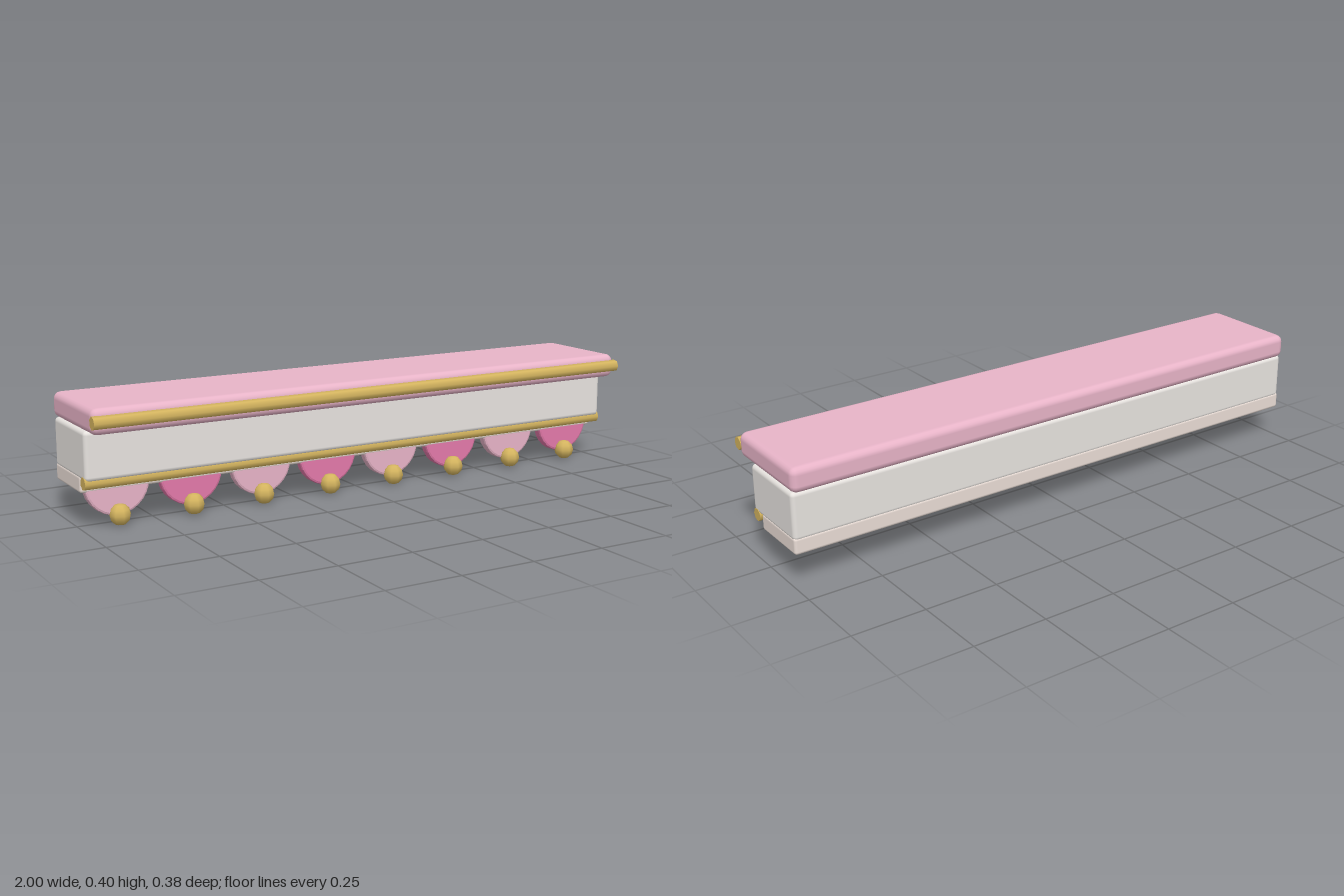
import * as THREE from 'three';
import { RoundedBoxGeometry } from 'three/addons/geometries/RoundedBoxGeometry.js';

const paint = (color) => new THREE.MeshStandardMaterial({ color });
const pink = paint(0xe8b4c8), rose = paint(0xe47aaa), gold = paint(0xd4b45f);
const cream = paint(0xe8e4e0), blush = paint(0xeaddd6);

export function createModel() {
  const group = new THREE.Group();

  function add(name, geometry, material, x, y, z) {
    const mesh = new THREE.Mesh(geometry, material);
    mesh.name = name;
    mesh.position.set(x, y, z);
    group.add(mesh);
    return mesh;
  }

  // Full-length soft-edged beam given by its y and z limits
  function beam(name, material, y0, y1, z0, z1, radius) {
    const geometry = new RoundedBoxGeometry(1.998, y1 - y0, z1 - z0, 2, radius);
    add(name, geometry, material, 0, (y0 + y1) / 2, (z0 + z1) / 2);
  }
  beam('topSlab', pink, 0.315, 0.398, -0.19, 0.167, 0.024);
  beam('body', cream, 0.158, 0.318, -0.178, 0.092, 0.015);
  beam('lowerTrim', blush, 0.113, 0.17, -0.178, 0.04, 0.01);

  // Gold piping along the front
  const rod = new THREE.CylinderGeometry(0.0215, 0.0215, 2, 7);
  rod.rotateZ(Math.PI / 2);
  add('upperPiping', rod, gold, 0, 0.357, 0.169);
  add('lowerPiping', rod, gold, 0, 0.152, 0.07);

  // Hanging half-round scallop with bevelled rim
  const bevel = 0.008;
  const half = new THREE.Shape();
  half.absarc(0, 0, 0.1, Math.PI, Math.PI * 2, false);
  half.closePath();
  const scallop = new THREE.ExtrudeGeometry(half, {
    depth: 0.038 - 2 * bevel, bevelEnabled: true, bevelThickness: bevel,
    bevelSize: bevel, bevelSegments: 2, curveSegments: 7,
  });
  scallop.translate(0, 0, bevel);

  // Alternating scallops, each with a bead at its tip
  const bead = new THREE.SphereGeometry(0.035, 8, 6);
  for (let i = 0; i < 8; i++) {
    const x = -0.877 + i * 0.25;
    add('scallop' + (i + 1), scallop, i % 2 ? rose : pink, x, 0.136, 0.001);
    add('bead' + (i + 1), bead, gold, x, 0.035, 0.051);
  }
  return group;
}
